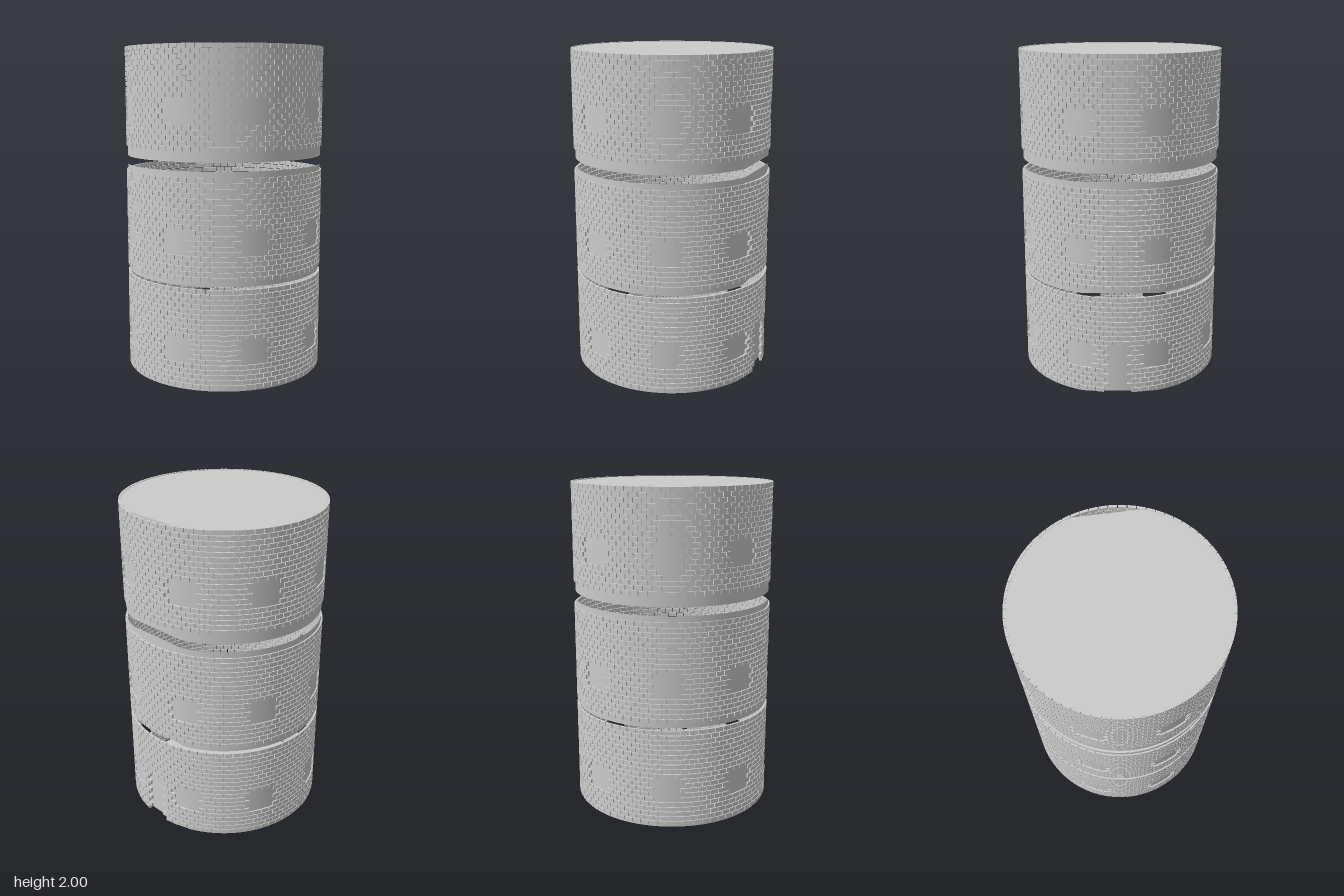
import * as THREE from 'three';
import { mergeGeometries } from 'three/addons/utils/BufferGeometryUtils.js';

const WALL_R = 0.603, BRICK_IN = 0.597, BRICK_OUT = 0.612;
const PER_ROW = 72, ROWS = 20, ROW_H = 0.03;
const STEP = 360 / PER_ROW;

// Flatten the back of the core, leaving a thin gap behind the brick shell.
function flattenBack(geometry) {
  const p = geometry.attributes.position;
  for (let i = 0; i < p.count; i++) {
    const limit = -0.578 + 0.065 * (p.getX(i) + 0.19);
    if (p.getZ(i) < limit) p.setZ(i, limit);
  }
  return geometry;
}

// Plain inner tube, open at both ends.
function wall(y0, y1) {
  const g = new THREE.CylinderGeometry(WALL_R, WALL_R, y1 - y0, 96, 1, true);
  g.translate(0, (y0 + y1) / 2, 0);
  return flattenBack(g);
}

// Thin floor or roof disc; sign is the way its normal points.
function disc(y, sign) {
  const g = new THREE.CircleGeometry(WALL_R, 96);
  g.rotateX(-sign * Math.PI / 2);
  g.translate(0, y, 0);
  return flattenBack(g);
}

// Angle from a brick to the nearest of the eight windows.
function windowDistance(deg) {
  const d = (((deg - 27.5) % 45) + 45) % 45;
  return Math.min(d, 45 - d);
}

function isOpening(row, deg, hasDoor) {
  if (row >= 5 && row < 10 && windowDistance(deg) < 7.6) return true;
  const doorHalf = row < 9 ? 6 : 3;
  return hasDoor && row < 10 && Math.abs(deg - 275) < doorHalf;
}

// Staggered courses of bricks with open window and door spaces.
function bricks(y0, hasDoor) {
  const length = 2 * Math.PI * BRICK_OUT / PER_ROW - 0.005;
  const base = new THREE.BoxGeometry(BRICK_OUT - BRICK_IN, ROW_H - 0.004, length);
  base.translate((BRICK_IN + BRICK_OUT) / 2, 0, 0);
  const parts = [];
  for (let row = 0; row < ROWS; row++) {
    for (let i = 0; i < PER_ROW; i++) {
      const deg = (i + (row % 2) / 2) * STEP;
      if (isOpening(row, deg, hasDoor)) continue;
      const g = base.clone();
      g.rotateY(-THREE.MathUtils.degToRad(deg));
      g.translate(0, y0 + (row + 0.5) * ROW_H + 0.002 * (row / (ROWS - 1)), 0);
      parts.push(g);
    }
  }
  return mergeGeometries(parts);
}

export function createModel() {
  const model = new THREE.Group();
  model.name = 'roundTower';
  const solid = new THREE.MeshStandardMaterial({ color: 0xcccccc });
  const thin = new THREE.MeshStandardMaterial({ color: 0xcccccc, side: THREE.DoubleSide });

  const add = (parent, name, geometry, material) => {
    const mesh = new THREE.Mesh(geometry, material);
    mesh.name = name;
    parent.add(mesh);
  };

  // Three stacked storeys: wall extent, start of the brickwork, flat slab.
  const storeys = [
    { name: 'lowerStorey', y0: 0, y1: 0.575, brickY: 0.01, slab: 'floor', slabY: 0, sign: -1, door: true },
    { name: 'middleStorey', y0: 0.625, y1: 1.29, brickY: 0.653, slab: 'floor', slabY: 0.626, sign: 1 },
    { name: 'upperStorey', y0: 1.34, y1: 1.997, brickY: 1.4, slab: 'roof', slabY: 1.997, sign: 1 },
  ];
  for (const s of storeys) {
    const storey = new THREE.Group();
    storey.name = s.name;
    add(storey, 'innerWall', wall(s.y0, s.y1), solid);
    add(storey, 'brickShell', bricks(s.brickY, s.door), solid);
    add(storey, s.slab, disc(s.slabY, s.sign), thin);
    model.add(storey);
  }
  return model;
}
